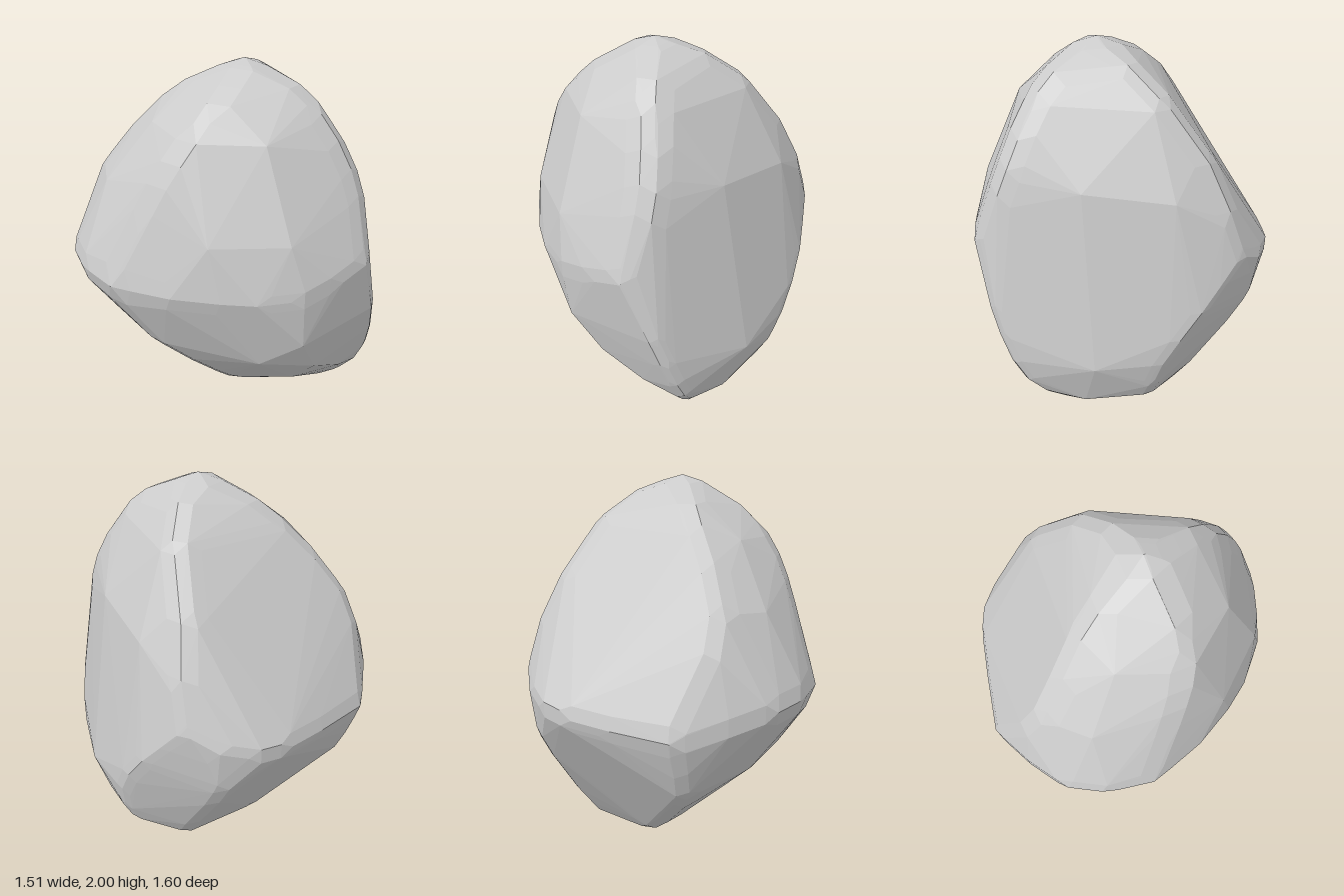
import * as THREE from 'three';
import { ConvexGeometry } from 'three/addons/geometries/ConvexGeometry.js';

const v = (x, y, z) => new THREE.Vector3(x, y, z);
const heart = v(0, 1, 0);

// Small faceted ball tucked just inside a surface point, so the skin over it is worn round.
function pebble(point, radius) {
  const inward = heart.clone().sub(point).setLength(radius);
  const centre = point.clone().add(inward);
  const corners = new THREE.IcosahedronGeometry(radius, 1).getAttribute('position');
  return Array.from({ length: corners.count }, (_, i) => v(0, 0, 0).fromBufferAttribute(corners, i).add(centre));
}

// Worn edge of the stone: pebbles along a curve.
const edge = (radius, steps, ...through) =>
  new THREE.CatmullRomCurve3(through, false, 'centripetal').getPoints(steps).flatMap((p) => pebble(p, radius));

export function createModel() {
  // extreme points where the edges meet
  const crown = v(0, 2, 0.12);
  const foot = v(0.33, 0.01, 0.04);
  const brow = v(0.09, 1.1, 0.8);
  const rear = v(-0.2, 0.88, -0.795);
  const rightTip = v(-0.75, 1, -0.17);
  const leftTip = v(0.71, 1.05, -0.37);

  // edges running down from the crown
  const upperFront = edge(0.15, 8, crown, v(0.08, 1.87, 0.4), v(0.15, 1.5, 0.66), brow);
  const leftShoulder = edge(0.13, 10, crown, v(0.3, 1.88, 0), v(0.59, 1.45, -0.26), leftTip,
    v(0.56, 0.93, -0.6), v(0.36, 0.9, -0.7), rear);
  const upperBack = edge(0.15, 8, crown, v(-0.14, 1.86, -0.18), v(-0.37, 1.38, -0.58), rear);
  const upperRight = edge(0.2, 8, crown, v(-0.33, 1.82, 0.15), v(-0.57, 1.5, 0.02), rightTip);

  // edges running down to the foot
  const lowerFront = edge(0.08, 10, brow, v(0.26, 0.65, 0.77), v(0.34, 0.3, 0.65), v(0.34, 0.08, 0.4), foot);
  const lowerBack = edge(0.13, 8, rear, v(-0.2, 0.58, -0.68), v(-0.1, 0.36, -0.48), v(0.1, 0.13, -0.28), foot);
  const lowerLeftBack = edge(0.13, 8, leftTip, v(0.62, 0.72, -0.48), v(0.56, 0.4, -0.27), v(0.45, 0.11, -0.1), foot);
  const lowerLeft = edge(0.1, 8, leftTip, v(0.75, 0.79, -0.13), v(0.7, 0.46, 0.08), v(0.59, 0.2, 0.1), foot);
  const lowerRight = edge(0.15, 8, rightTip, v(-0.57, 0.62, -0.02), v(-0.2, 0.27, 0.14), v(0.05, 0.1, 0.12), foot);

  // rounded waist on the right, front to back
  const waist = edge(0.15, 10, brow, v(-0.25, 1, 0.7), v(-0.54, 1, 0.4), rightTip, v(-0.6, 1, -0.57), rear);

  // corners of the broad flat faces
  const leftFace = [v(0.43, 1.43, 0.37), v(0.6, 0.5, 0.39), v(0.49, 0.2, 0.4), v(0.62, 1.38, -0.02)];
  const frontFace = [v(-0.25, 1.7, 0.42), v(-0.3, 1.27, 0.61), v(-0.55, 1.27, 0.32),
    v(-0.25, 0.72, 0.67), v(-0.1, 0.5, 0.65), v(0.13, 0.38, 0.67)];
  const underside = [v(-0.35, 0.58, 0.48), v(-0.03, 0.3, 0.48), v(-0.48, 0.64, -0.42)];
  const backRight = [v(-0.52, 1.42, -0.36), v(-0.36, 1.72, -0.18)];

  // the stone is the skin stretched over all edges and corners
  const geometry = new ConvexGeometry([upperFront, leftShoulder, upperBack, upperRight, lowerFront, lowerBack,
    lowerLeftBack, lowerLeft, lowerRight, waist, leftFace, frontFace, underside, backRight].flat());
  const stone = new THREE.Mesh(geometry, new THREE.MeshStandardMaterial({ color: 0xcccccc, flatShading: true }));
  stone.name = 'stone';

  const group = new THREE.Group();
  group.name = 'boulder';
  group.add(stone);
  return group;
}
